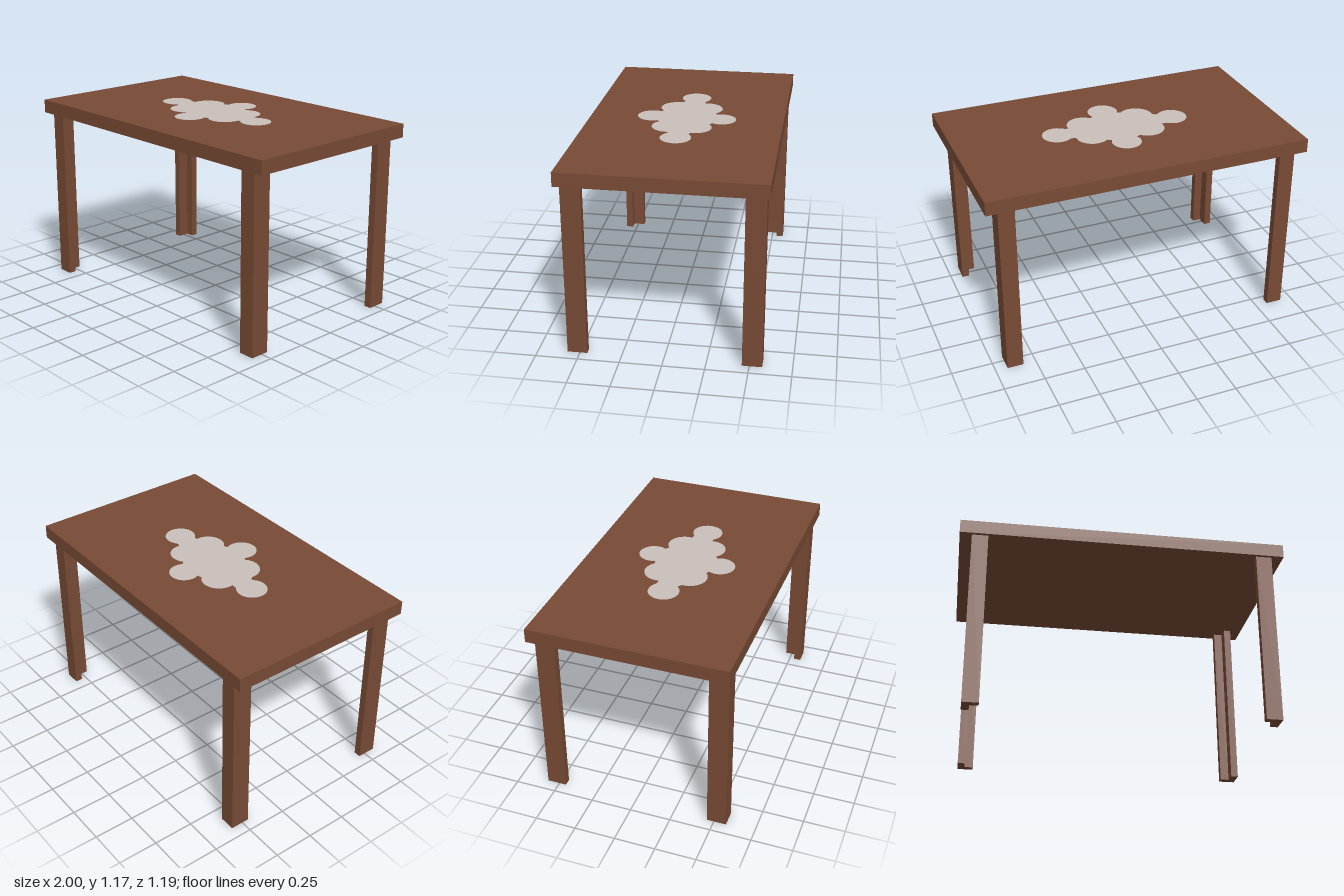
import * as THREE from 'three';

const TOP = 1.17, UNDER = 1.086;

export function createModel() {
  const wood = new THREE.MeshStandardMaterial({ color: 0x784a35 });
  wood.name = 'brown wood';
  const lace = new THREE.MeshStandardMaterial({ color: 0xc9c0bb });
  lace.name = 'pale lace';

  const table = new THREE.Group();
  table.name = 'table';
  const add = (name, geometry, material, parent = table) => {
    const mesh = new THREE.Mesh(geometry, material);
    mesh.name = name;
    parent.add(mesh);
    return mesh;
  };

  // Tabletop slab
  add('tabletop', new THREE.BoxGeometry(2, TOP - UNDER, 1.19), wood).position.y = (TOP + UNDER) / 2;

  // Four L-section legs, outer corner facing the table corner
  const xo = 0.927, xi = 0.828, zo = 0.575, zi = 0.457, t = 0.045;
  const section = [[xo, zo], [xi, zo], [xi, zo - t], [xo - t, zo - t], [xo - t, zi], [xo, zi]];
  for (const sx of [-1, 1]) {
    for (const sz of [-1, 1]) {
      const shape = new THREE.Shape(section.map(([x, z]) => new THREE.Vector2(sx * x, -sz * z)));
      const leg = new THREE.ExtrudeGeometry(shape, { depth: UNDER, bevelEnabled: false });
      leg.rotateX(-Math.PI / 2);
      add(`${sz > 0 ? 'front' : 'back'}${sx > 0 ? 'Left' : 'Right'}Leg`, leg, wood);
    }
  }

  // Flat doily of overlapping round lobes: x, z, radius
  const doily = new THREE.Group();
  doily.name = 'doily';
  table.add(doily);
  const lobes = [
    [0, 0, 0.19],
    [-0.17, -0.095, 0.105], [-0.17, 0.085, 0.105],
    [0.18, -0.075, 0.1], [0.18, 0.09, 0.1],
    [0.015, -0.215, 0.09], [0.003, 0.215, 0.093],
    [-0.372, -0.008, 0.093], [0.372, 0.015, 0.093],
    [-0.22, 0, 0.09], [0.22, 0.005, 0.09],
  ];
  for (const [x, z, r] of lobes) {
    add('doilyLobe', new THREE.CylinderGeometry(r, r, 0.002, 24), lace, doily).position.set(x, TOP + 0.001, z);
  }
  // Bridges joining the side lobes to the middle
  for (const s of [-1, 1]) {
    add('doilyBridge', new THREE.BoxGeometry(0.12, 0.002, 0.13), lace, doily).position.set(s * 0.28, TOP + 0.001, s * 0.01);
  }
  return table;
}
